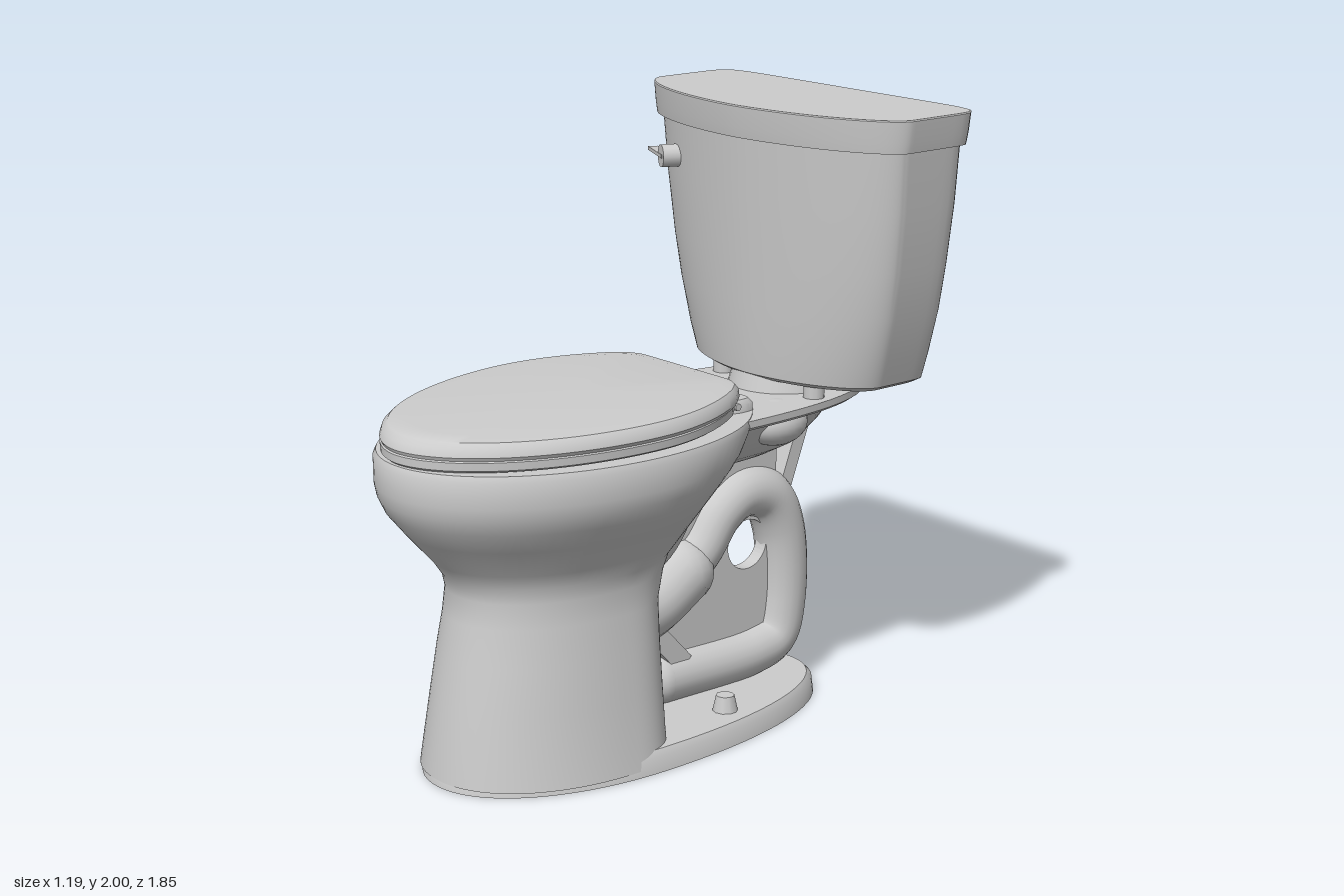
import * as THREE from 'three';
import { toCreasedNormals } from 'three/addons/utils/BufferGeometryUtils.js';

const material = new THREE.MeshStandardMaterial({ color: 0xcccccc });

// One horizontal section: superellipse halves (powers fn and n) in front of and behind zc, the back tapered
function ring({ y, w, zf, zc, zb, n = 2, taper = 0, fn = 2 }, count) {
  const points = [];
  const quarter = count / 4;
  for (let i = 0; i < count; i++) {
    const back = i > quarter && i < 3 * quarter;
    // Walk a diamond outline, then push each point out to the superellipse
    const dz = 1 - Math.min(i, count - i) / quarter;
    const a = Math.abs(dz);
    const power = back ? n : fn;
    const norm = Math.pow(Math.pow(a, power) + Math.pow(1 - a, power), 1 / power);
    const u = a / norm;
    const x = (i < count / 2 ? 1 : -1) * w * (1 - a) / norm;
    points.push(back ? [x * (1 - taper * u * u), y, zc + (zb - zc) * u] : [x, y, zc + (zf - zc) * u]);
  }
  return points;
}

// Closed solid through sections listed from bottom to top
function loft(sections, crease = 0.6, count = 96) {
  const position = [], index = [];
  sections.forEach((s) => ring(s, count).forEach((p) => position.push(...p)));
  for (let k = 0; k < sections.length - 1; k++) {
    for (let i = 0; i < count; i++) {
      const j = (i + 1) % count;
      const a = k * count + i, b = k * count + j;
      index.push(a, b, b + count, a, b + count, a + count);
    }
  }
  const bottom = sections[0], top = sections[sections.length - 1];
  const lowCentre = sections.length * count, last = lowCentre - count;
  position.push(0, bottom.y, bottom.zc, 0, top.y, top.zc);
  for (let i = 0; i < count; i++) {
    const j = (i + 1) % count;
    index.push(lowCentre, j, i, lowCentre + 1, last + i, last + j);
  }
  const geometry = new THREE.BufferGeometry();
  geometry.setAttribute('position', new THREE.Float32BufferAttribute(position, 3));
  geometry.setIndex(index);
  return toCreasedNormals(geometry, crease);
}

const keys = ['y', 'w', 'zf', 'zc', 'zb', 'n', 'taper', 'fn'];
const rows = (table) => table.map((row) => Object.fromEntries(row.map((value, i) => [keys[i], value])));

export function createModel() {
  const model = new THREE.Group();
  const add = (name, geometry, x = 0, y = 0, z = 0, parent = model) => {
    const mesh = new THREE.Mesh(geometry, material);
    mesh.name = name;
    mesh.position.set(x, y, z);
    parent.add(mesh);
    return mesh;
  };

  // Foot plate
  add('footPlate', loft(rows([
    [0, 0.358, 0.78, 0.15, -0.735, 2.15, 0, 2.1],
    [0.05, 0.348, 0.772, 0.15, -0.73, 2.15, 0, 2.1],
    [0.07, 0.335, 0.76, 0.15, -0.71, 2.15, 0, 2.1],
  ])));

  // Pedestal flowing up into the bowl
  add('pedestalAndBowl', loft(rows([
    [0.02, 0.35, 0.778, 0.26, 0.02, 2.6, 0, 2.15],
    [0.1, 0.336, 0.768, 0.26, 0.02, 2.6, 0, 2.15],
    [0.25, 0.316, 0.745, 0.26, 0.02, 2.6, 0, 2.15],
    [0.4, 0.298, 0.72, 0.26, 0.02, 2.6, 0, 2.15],
    [0.52, 0.283, 0.7, 0.26, 0.01, 2.5, 0, 2.1],
    [0.6, 0.276, 0.69, 0.26, -0.04, 2.2, 0, 2.1],
    [0.65, 0.285, 0.705, 0.26, -0.08, 2],
    [0.7, 0.308, 0.74, 0.25, -0.13, 2],
    [0.8, 0.378, 0.83, 0.25, -0.2, 2],
    [0.87, 0.426, 0.888, 0.25, -0.25, 2],
    [0.92, 0.447, 0.912, 0.25, -0.3, 2],
    [0.96, 0.455, 0.92, 0.25, -0.34, 2],
    [1.04, 0.452, 0.922, 0.25, -0.4, 2],
    [1.06, 0.442, 0.912, 0.25, -0.4, 2],
  ]), 0.7));

  // Deck behind the bowl that carries the tank
  add('tankDeck', loft(rows([
    [1.025, 0.3, 0, -0.2, -0.86, 4, 0.2],
    [1.035, 0.31, 0, -0.2, -0.88, 4, 0.2],
    [1.058, 0.31, 0, -0.2, -0.88, 4, 0.2],
  ])));
  add('deckUnderside', loft(rows([
    [0.85, 0.1, 0.1, -0.15, -0.58, 3],
    [0.88, 0.15, 0.1, -0.15, -0.66, 3],
    [0.95, 0.2, 0.1, -0.15, -0.74, 3],
    [1.03, 0.25, 0.1, -0.15, -0.77, 3.5],
  ]), 0.8));
  for (const side of [-1, 1]) {
    const bulge = add('deckBulge', new THREE.SphereGeometry(0.1, 24, 16), side * 0.17, 0.985, -0.46);
    bulge.scale.set(0.9, 0.75, 1.15);
  }

  // Trapway pipe, winding behind the pedestal
  const path = (points) => new THREE.CatmullRomCurve3(points.map(([z, y]) => new THREE.Vector3(0, y, z)));
  const trap = path([[0.08, 0.36], [-0.12, 0.44], [-0.27, 0.55], [-0.36, 0.66], [-0.46, 0.71],
    [-0.57, 0.68], [-0.635, 0.56], [-0.648, 0.3], [-0.61, 0.18], [-0.5, 0.145], [-0.11, 0.14]]);
  add('trapway', new THREE.TubeGeometry(trap, 90, 0.088, 20));
  add('trapwayEnd', new THREE.SphereGeometry(0.088, 20, 14), 0, 0.14, -0.11);
  const sump = path([[0.08, 0.38], [-0.06, 0.41], [-0.2, 0.49]]);
  add('sump', new THREE.TubeGeometry(sump, 16, 0.115, 18));
  add('sumpEnd', new THREE.SphereGeometry(0.115, 18, 14), 0, 0.49, -0.2);
  const channel = path([[0.1, 0.55], [-0.06, 0.63], [-0.17, 0.78], [-0.28, 0.9]]);
  add('inletChannel', new THREE.TubeGeometry(channel, 24, 0.1, 18));

  // Thin web filling the loop of the pipe, pierced by a round hole
  const web = new THREE.Shape([[-0.05, 0.06], [0.64, 0.1], [0.64, 0.5], [0.6, 0.7], [0.6, 0.88],
    [0.2, 0.88], [-0.05, 0.6]].map((p) => new THREE.Vector2(...p)));
  web.holes.push(new THREE.Path().absarc(0.475, 0.53, 0.085, 0, Math.PI * 2, true));
  const webGeometry = new THREE.ExtrudeGeometry(web, { depth: 0.05, bevelEnabled: false, curveSegments: 20 });
  webGeometry.translate(0, 0, -0.025);
  add('trapwayWeb', webGeometry).rotation.y = Math.PI / 2;

  // Braces
  add('deckBrace', new THREE.BoxGeometry(0.07, 0.34, 0.05), 0, 0.81, -0.675).rotation.x = -0.36;
  add('sumpBrace', new THREE.BoxGeometry(0.12, 0.17, 0.07), 0, 0.25, -0.12).rotation.x = 0.75;

  // Floor bolt caps
  for (const side of [-1, 1]) {
    add('boltCap', new THREE.CylinderGeometry(0.03, 0.042, 0.055, 10), side * 0.22, 0.095, -0.21);
  }

  // Seat and closed lid, tipped slightly forward
  const seat = new THREE.Group();
  seat.name = 'seatAssembly';
  seat.position.y = 1.1;
  seat.rotation.x = 0.025;
  model.add(seat);
  add('seat', loft(rows([
    [-0.018, 0.425, 0.9, 0.22, -0.2, 14, 0.38, 1.88],
    [-0.01, 0.438, 0.91, 0.22, -0.21, 14, 0.38, 1.88],
    [0.015, 0.44, 0.91, 0.22, -0.21, 14, 0.38, 1.88],
    [0.022, 0.43, 0.902, 0.22, -0.2, 14, 0.38, 1.88],
  ])), 0, 0, 0, seat);
  add('seatLid', loft(rows([
    [0.018, 0.435, 0.905, 0.22, -0.228, 14, 0.38, 1.88],
    [0.03, 0.442, 0.91, 0.22, -0.23, 14, 0.38, 1.88],
    [0.055, 0.436, 0.9, 0.22, -0.23, 14, 0.38, 1.88],
    [0.07, 0.422, 0.88, 0.22, -0.222, 14, 0.38, 1.88],
    [0.076, 0.37, 0.81, 0.22, -0.19, 14, 0.38, 1.88],
  ])), 0, 0, 0, seat);
  for (const side of [-1, 1]) {
    add('hinge', loft(rows([
      [1.05, 0.048, 0.06, 0, -0.06, 4],
      [1.085, 0.046, 0.06, 0, -0.058, 4],
      [1.1, 0.036, 0.05, 0, -0.045, 4],
    ]), 0.6, 24), side * 0.175, 0, -0.27);
    for (const z of [0, 0.6]) {
      add('seatBumper', new THREE.BoxGeometry(0.05, 0.04, 0.08), side * 0.28, 1.07, z);
    }
  }
  const rod = add('hingeRod', new THREE.CylinderGeometry(0.012, 0.012, 0.5, 10), 0, 1.09, -0.228);
  rod.rotation.z = Math.PI / 2;

  // Tank, its lid and the fittings below it
  add('tank', loft(rows([
    [1.1, 0.4, -0.5, -0.68, -0.88, 12, 0, 1.8],
    [1.115, 0.425, -0.475, -0.68, -0.9, 12, 0, 1.8],
    [1.2, 0.452, -0.468, -0.67, -0.902, 12, 0, 1.8],
    [1.35, 0.493, -0.46, -0.66, -0.904, 12, 0, 1.8],
    [1.5, 0.52, -0.452, -0.65, -0.906, 12, 0, 1.8],
    [1.7, 0.546, -0.442, -0.64, -0.91, 12, 0, 1.8],
    [1.91, 0.562, -0.432, -0.63, -0.913, 12, 0, 1.8],
  ])));
  add('tankLid', loft(rows([
    [1.895, 0.582, -0.412, -0.62, -0.92, 12, 0, 1.75],
    [1.93, 0.588, -0.406, -0.62, -0.923, 12, 0, 1.75],
    [1.996, 0.595, -0.4, -0.62, -0.926, 12, 0, 1.75],
    [2, 0.592, -0.403, -0.62, -0.923, 12, 0, 1.75],
  ])));
  add('tankGasket', new THREE.CylinderGeometry(0.16, 0.18, 0.07, 32), 0, 1.08, -0.64);
  for (const side of [-1, 1]) {
    add('tankBolt', new THREE.CylinderGeometry(0.035, 0.035, 0.08, 12), side * 0.22, 1.07, -0.58);
  }
  add('supplyShank', new THREE.CylinderGeometry(0.025, 0.025, 0.08, 12), -0.34, 1.07, -0.82);
  add('supplyNut', new THREE.CylinderGeometry(0.04, 0.04, 0.025, 6), -0.34, 1.055, -0.82);

  // Flush lever lying along the curved tank front
  const lever = new THREE.Group();
  lever.name = 'flushLever';
  lever.position.set(-0.38, 1.775, -0.488);
  lever.rotation.y = -0.44;
  model.add(lever);
  const knob = add('leverKnob', new THREE.CylinderGeometry(0.038, 0.038, 0.09, 16), 0, 0, -0.005, lever);
  knob.rotation.x = Math.PI / 2;
  add('leverArm', new THREE.BoxGeometry(0.17, 0.012, 0.035), -0.07, 0, 0.025, lever);

  return model;
}
